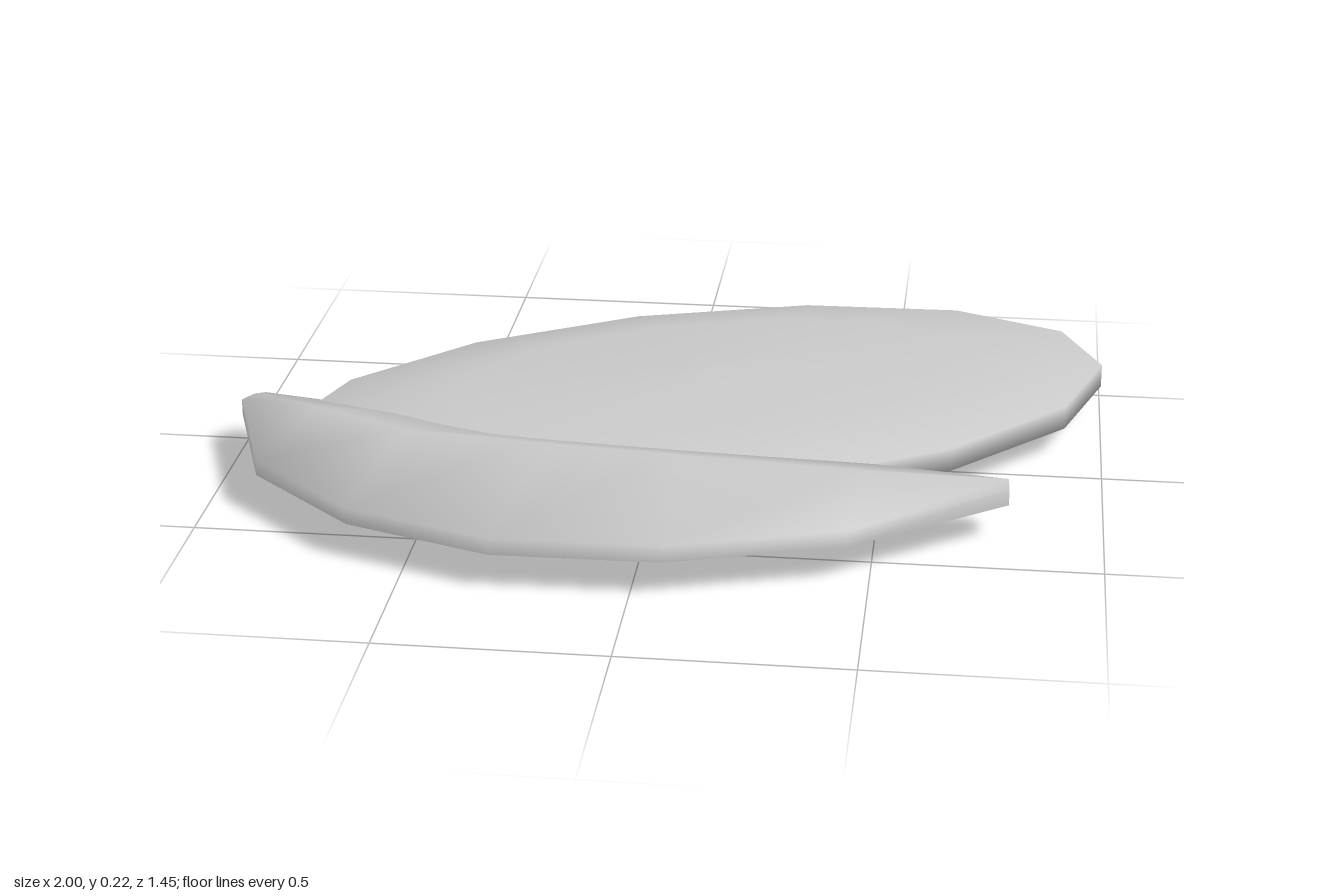
import * as THREE from 'three';
import { toCreasedNormals } from 'three/addons/utils/BufferGeometryUtils.js';

const shell = new THREE.MeshStandardMaterial({ color: 0xc8c8c8 });
shell.name = 'light grey';

// Shallow lens with a fourteen-sided outline, stretched into a slanted oval
function makeDisc() {
  const profile = [[0, 0.005], [0.62, 0.022], [1, 0.07], [1, 0.125], [0.62, 0.172], [0, 0.188]];
  const geometry = new THREE.LatheGeometry(profile.map(([r, y]) => new THREE.Vector2(r, y)), 14);
  geometry.applyMatrix4(new THREE.Matrix4().set(
    -0.01, 0, 0.93, 0.07,
    0, 1, 0, 0,
    -0.554, 0, -0.285, -0.115,
    0, 0, 0, 1
  ));
  const mesh = new THREE.Mesh(geometry, shell);
  mesh.name = 'ovalDisc';
  return mesh;
}

// Curved blade: flat base, thin rim and a raised ridge, lofted along x
function makeCrescent() {
  const base = 0.085, rim = 0.123;
  // outer x, z | ridge x, y, z | inner x, z
  const stations = [
    [-1.0, 0.045, -0.975, 0.13, 0.022, -0.955, -0.005],
    [-0.885, 0.38, -0.78, 0.187, 0.215, -0.66, 0.055],
    [-0.63, 0.61, -0.55, 0.212, 0.375, -0.45, 0.1],
    [-0.3, 0.725, -0.25, 0.221, 0.435, -0.2, 0.18],
    [0.07, 0.72, 0.06, 0.213, 0.445, 0.07, 0.205],
    [0.45, 0.6, 0.46, 0.182, 0.41, 0.47, 0.24],
    [0.79, 0.345, 0.787, 0.135, 0.315, 0.78, 0.288]
  ];
  const positions = [], index = [], n = 5, last = (stations.length - 1) * n;
  for (const [ox, oz, rx, ry, rz, ix, iz] of stations) {
    positions.push(ox, base, oz, ox, rim, oz, rx, ry, rz, ix, rim, iz, ix, base, iz);
  }
  for (let s = 0; s < last; s += n) {
    for (let j = 0; j < n; j++) {
      const k = (j + 1) % n;
      const a = s + j, b = s + k, c = s + n + k, d = s + n + j;
      index.push(a, d, c, a, c, b);
    }
  }
  // Blunt tips
  for (let j = 1; j < n - 1; j++) {
    index.push(0, j, j + 1, last, last + j + 1, last + j);
  }
  const geometry = new THREE.BufferGeometry();
  geometry.setAttribute('position', new THREE.Float32BufferAttribute(positions, 3));
  geometry.setIndex(index);
  const mesh = new THREE.Mesh(toCreasedNormals(geometry, 1.35), shell);
  mesh.name = 'crescentBlade';
  return mesh;
}

export function createModel() {
  const model = new THREE.Group();
  model.name = 'discWithCrescent';
  model.add(makeDisc(), makeCrescent());
  return model;
}
